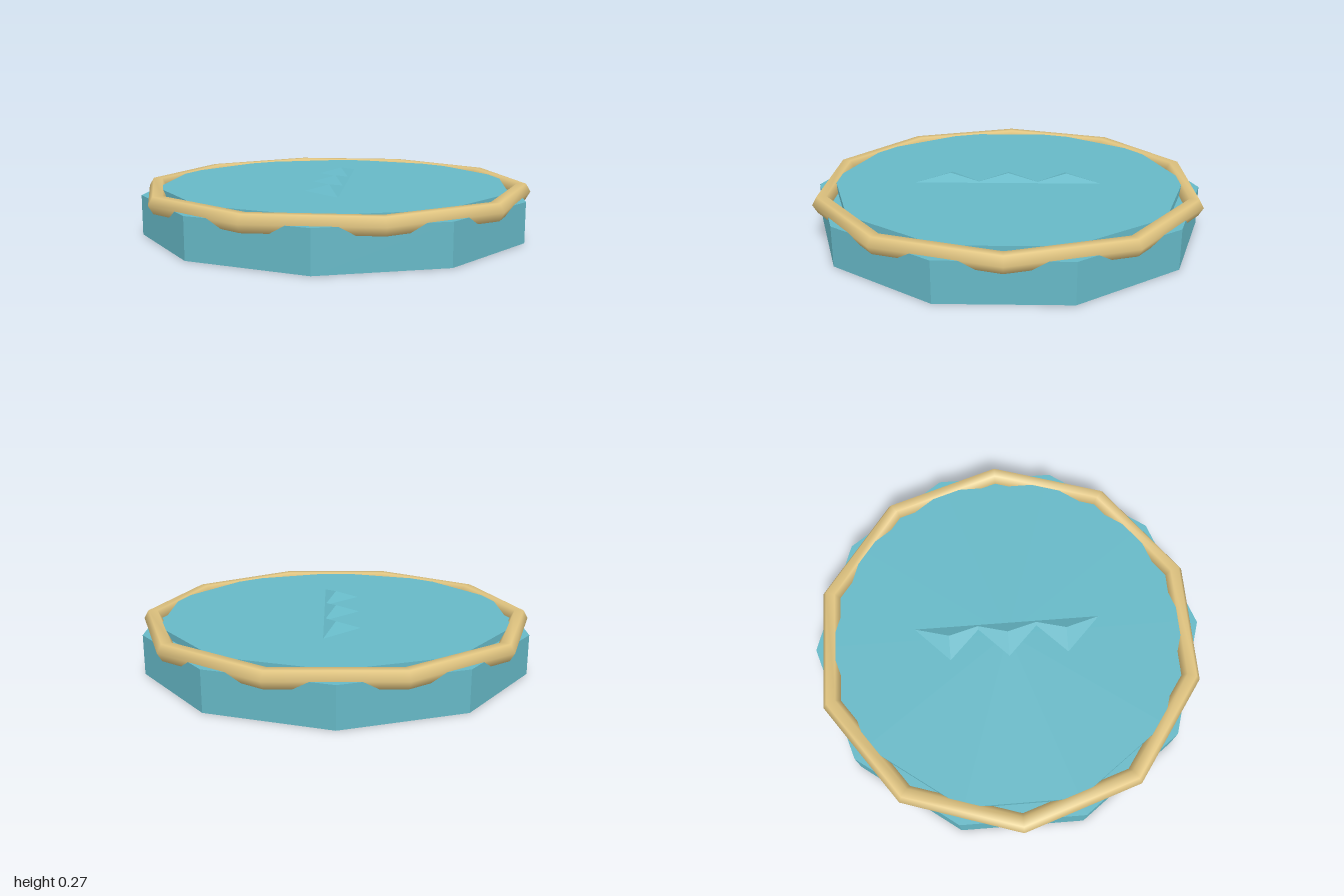
import * as THREE from 'three';

export function createModel() {
  const model = new THREE.Group();
  const teal = new THREE.MeshStandardMaterial({ color: 0x66b8c6, flatShading: true });
  const sand = new THREE.MeshStandardMaterial({ color: 0xe0c480 });

  const add = (name, geometry, material, x, y, z) => {
    const mesh = new THREE.Mesh(geometry, material);
    mesh.name = name;
    mesh.position.set(x, y, z);
    model.add(mesh);
    return mesh;
  };

  // Ten-sided base and the slightly raised surface inside the rim
  const surfaceY = 0.235;
  add('base', new THREE.CylinderGeometry(0.987, 0.987, 0.2, 10), teal, 0, 0.1, 0);
  add('surface', new THREE.CylinderGeometry(0.906, 0.906, 0.135, 10), teal, 0, surfaceY - 0.0675, 0);

  // Rim: hexagonal tube in ten straight runs, corners over the base's flats
  const rim = new THREE.TorusGeometry(0.953, 0.047, 6, 10).rotateX(-Math.PI / 2);
  add('rim', rim, sand, 0, 0.2, 0);

  // Row of three low three-sided wave crests, stretched along z
  const height = 0.034;
  const crest = new THREE.ConeGeometry(0.12, height, 3).rotateY(-Math.PI / 2).scale(1, 1, 1.68);
  for (const z of [-0.3, 0, 0.3]) {
    add('waveCrest', crest, teal, 0, surfaceY + height / 2, z);
  }

  return model;
}
